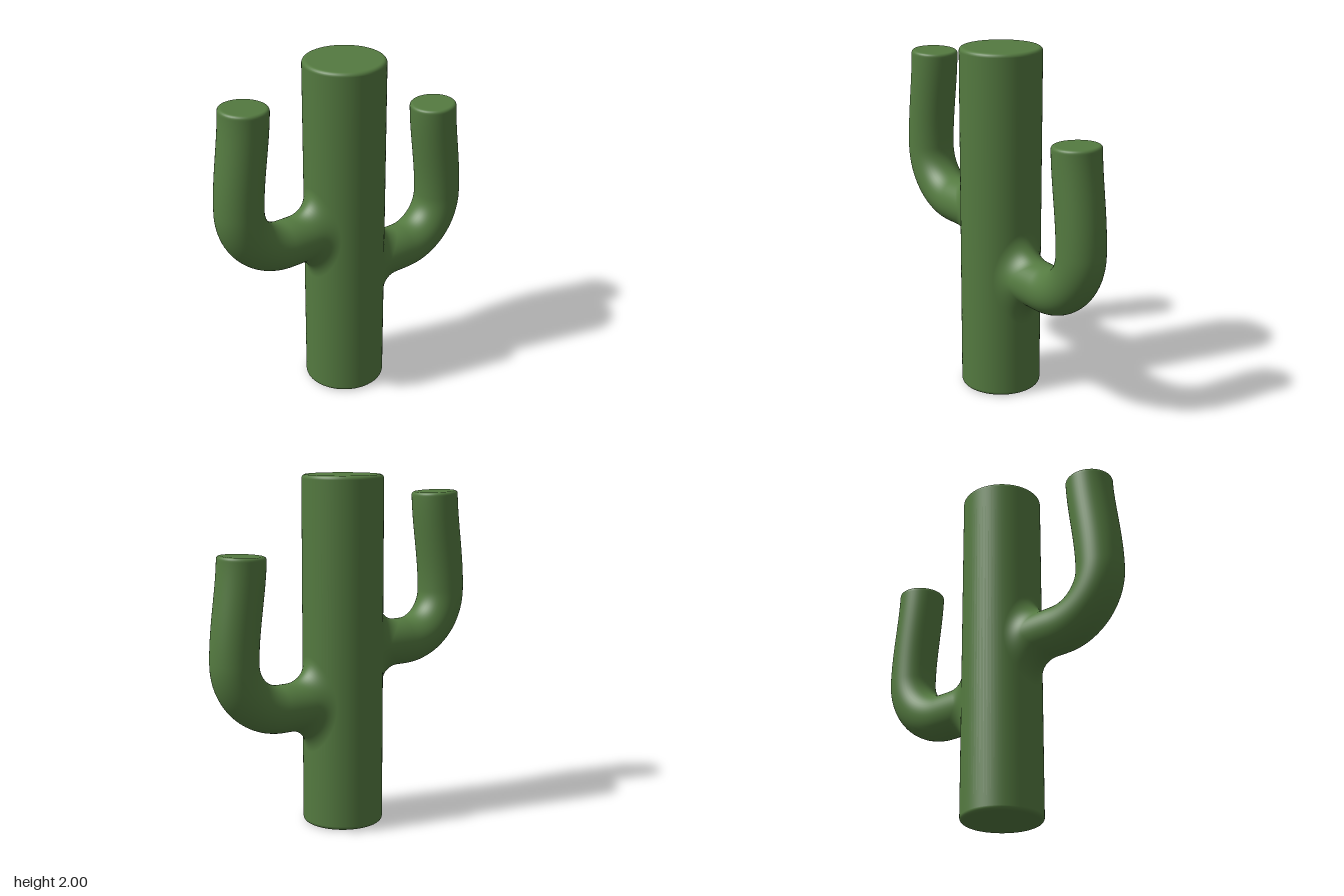
import * as THREE from 'three';

const R = 0.23;   // trunk radius
const r = 0.135;  // arm radius
const F = 0.14;   // fillet radius where an arm meets the trunk
const v = (x, y) => new THREE.Vector3(x, y, 0);

// quarter-round rim from the side (radius, y) to the flat end
function rim(radius, y, b, dir) {
  const pts = [];
  for (let i = 0; i <= 5; i++) {
    const a = (i / 5) * Math.PI / 2;
    pts.push(new THREE.Vector2(radius - b + b * Math.cos(a), y + dir * b * (Math.sin(a) - 1)));
  }
  pts.push(new THREE.Vector2(radius - b - 0.004, y), new THREE.Vector2(0, y));
  return pts;
}

// rolling-ball blend between the trunk (along y) and an arm (along +x)
function filletGeometry(nu = 64, nv = 12) {
  const pos = [], nor = [], idx = [];
  const c = new THREE.Vector3(), d0 = new THREE.Vector3(), d1 = new THREE.Vector3();
  for (let i = 0; i <= nu; i++) {
    const a = (i / nu) * Math.PI * 2;
    const z = (r + F) * Math.sin(a);
    c.set(Math.sqrt((R + F) ** 2 - z * z), (r + F) * Math.cos(a), z);
    d0.set(-c.x, 0, -c.z).normalize();                 // towards the trunk
    d1.set(0, -Math.cos(a), -Math.sin(a));             // towards the arm
    const w = d0.angleTo(d1);
    for (let j = 0; j <= nv; j++) {
      const t = j / nv;
      const d = d0.clone().multiplyScalar(Math.sin((1 - t) * w) / Math.sin(w))
        .addScaledVector(d1, Math.sin(t * w) / Math.sin(w));
      pos.push(c.x + F * d.x, c.y + F * d.y, c.z + F * d.z);
      nor.push(-d.x, -d.y, -d.z);
      if (i < nu && j < nv) {
        const p = i * (nv + 1) + j, q = p + nv + 1;
        idx.push(p, q, p + 1, q, q + 1, p + 1);
      }
    }
  }
  const g = new THREE.BufferGeometry();
  g.setAttribute('position', new THREE.Float32BufferAttribute(pos, 3));
  g.setAttribute('normal', new THREE.Float32BufferAttribute(nor, 3));
  g.setIndex(idx);
  return g;
}

// arm growing towards +x, its root axis at y = 0
function makeArm(name, material) {
  const arm = new THREE.Group();
  arm.name = name;
  const add = (geometry, part) => {
    const m = new THREE.Mesh(geometry, material);
    m.name = part;
    arm.add(m);
    return m;
  };

  // straight root, round elbow, then a tip leaning slightly inwards
  const k = 0.285, h = k * 0.5523;
  const path = new THREE.CurvePath();
  path.add(new THREE.LineCurve3(v(0.1, 0), v(0.42, 0)));
  path.add(new THREE.CubicBezierCurve3(v(0.42, 0), v(0.42 + h, 0), v(0.705, k - h), v(0.705, k)));
  path.add(new THREE.CubicBezierCurve3(v(0.705, k), v(0.705, 0.48), v(0.659, 0.67), v(0.652, 0.845)));
  add(new THREE.TubeGeometry(path, 72, r, 48, false), 'armStem');

  const cap = add(new THREE.LatheGeometry([new THREE.Vector2(r, 0), ...rim(r, 0.025, 0.018, 1)], 48), 'armTip');
  cap.position.copy(path.getPoint(1));
  cap.quaternion.setFromUnitVectors(new THREE.Vector3(0, 1, 0), path.getTangent(1));

  add(filletGeometry(), 'armFillet');
  return arm;
}

export function createModel() {
  const cactus = new THREE.Group();
  cactus.name = 'cactus';
  const green = new THREE.MeshStandardMaterial({ color: 0x547a40 });
  green.name = 'cactusGreen';

  // trunk with softened rims
  const profile = [...rim(R, 0, 0.022, -1).reverse(), ...rim(R, 2, 0.022, 1)];
  const trunk = new THREE.Mesh(new THREE.LatheGeometry(profile, 72), green);
  trunk.name = 'trunk';
  cactus.add(trunk);

  const leftArm = makeArm('leftArm', green);
  leftArm.position.y = 0.715;
  const rightArm = makeArm('rightArm', green);
  rightArm.position.y = 1.015;
  rightArm.rotation.y = Math.PI;
  cactus.add(leftArm, rightArm);
  return cactus;
}
